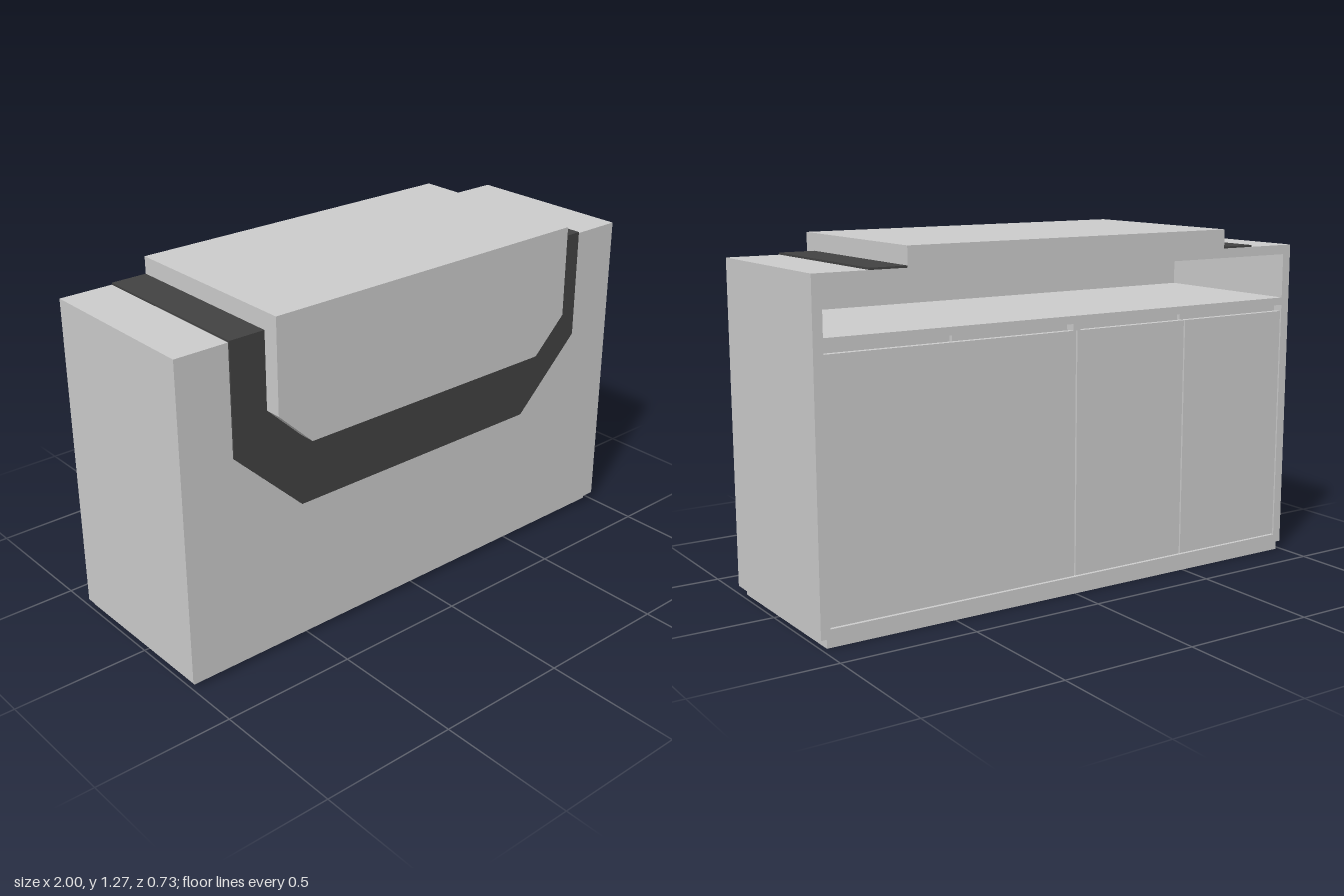
import * as THREE from 'three';

export function createModel() {
  const model = new THREE.Group();
  const grey = new THREE.MeshStandardMaterial({ color: 0xcccccc });
  const dark = new THREE.MeshStandardMaterial({ color: 0x424242 });
  const BACK = -0.365, FRONT = 0.3;

  // Box given by its extents on each axis
  function box(name, [x0, x1], [y0, y1], [z0, z1], material = grey) {
    const mesh = new THREE.Mesh(new THREE.BoxGeometry(x1 - x0, y1 - y0, z1 - z0), material);
    mesh.position.set((x0 + x1) / 2, (y0 + y1) / 2, (z0 + z1) / 2);
    mesh.name = name;
    model.add(mesh);
    return mesh;
  }

  // Upright plate from half an outline (x > 0), mirrored to the other side
  function plate(name, half, z0, z1, material) {
    const mirrored = half.map(([x, y]) => [-x, y]).reverse();
    const shape = new THREE.Shape([...half, ...mirrored].map(([x, y]) => new THREE.Vector2(x, y)));
    const geometry = new THREE.ExtrudeGeometry(shape, { depth: z1 - z0, bevelEnabled: false });
    geometry.translate(0, 0, z0);
    const mesh = new THREE.Mesh(geometry, material);
    mesh.name = name;
    model.add(mesh);
  }

  // Cabinet carcass, open at the back
  const inner = [-0.965, 0.965];
  box('frontPanel', [-1, 1], [0.03, 1.2], [0.27, FRONT]);
  for (const s of [-1, 1]) {
    box('sidePanel', s < 0 ? [-1, -0.965] : [0.965, 1], [0.03, 1.2], [BACK, 0.27]);
  }
  box('topBoard', inner, [1.165, 1.2], [BACK, 0.27]);
  box('shelf', inner, [0.972, 1.0], [BACK, 0.27]);
  box('bottomBoard', inner, [0.03, 0.062], [BACK, 0.27]);

  // Plinth ring, set back at the front and sides
  box('plinthFront', [-0.98, 0.98], [0, 0.03], [0.245, 0.275]);
  box('plinthBack', [-0.98, 0.98], [0, 0.03], [BACK, BACK + 0.02]);
  for (const s of [-1, 1]) {
    box('plinthSide', s < 0 ? [-0.98, -0.95] : [0.95, 0.98], [0, 0.03], [BACK + 0.02, 0.245]);
  }

  // Back doors with narrow gaps and a finger slot above them
  for (const [x0, x1] of [[0.003, 0.965], [-0.482, -0.003], [-0.962, -0.488]]) {
    box('door', [x0, x1], [0.066, 0.948], [BACK + 0.003, BACK + 0.025]);
  }
  box('innerBacking', inner, [0.062, 0.972], [BACK + 0.04, BACK + 0.05]);
  box('slotPost', [-0.015, 0.015], [0.948, 0.972], [BACK + 0.003, BACK + 0.04]);
  for (const x of [-0.485, 0.485]) {
    box('slotDivider', [x - 0.004, x + 0.004], [0.93, 0.972], [BACK + 0.026, BACK + 0.04]);
  }

  // Dark band wrapping over the front and the top
  plate('frontBand', [[0.53, 0.54], [0.8, 0.8], [0.8, 1.207], [0.665, 1.207], [0.665, 0.93], [0.53, 0.8]],
    FRONT, FRONT + 0.006, dark);
  for (const s of [-1, 1]) {
    box('topBand', s < 0 ? [-0.8, -0.665] : [0.665, 0.8], [1.2, 1.207], [BACK, FRONT], dark);
  }

  // Raised counter with its chamfered front apron
  box('counterTop', [-0.665, 0.665], [1.2, 1.27], [BACK, FRONT]);
  plate('counterApron', [[0.53, 0.8], [0.665, 0.93], [0.665, 1.27]], FRONT, 0.367, grey);

  return model;
}
